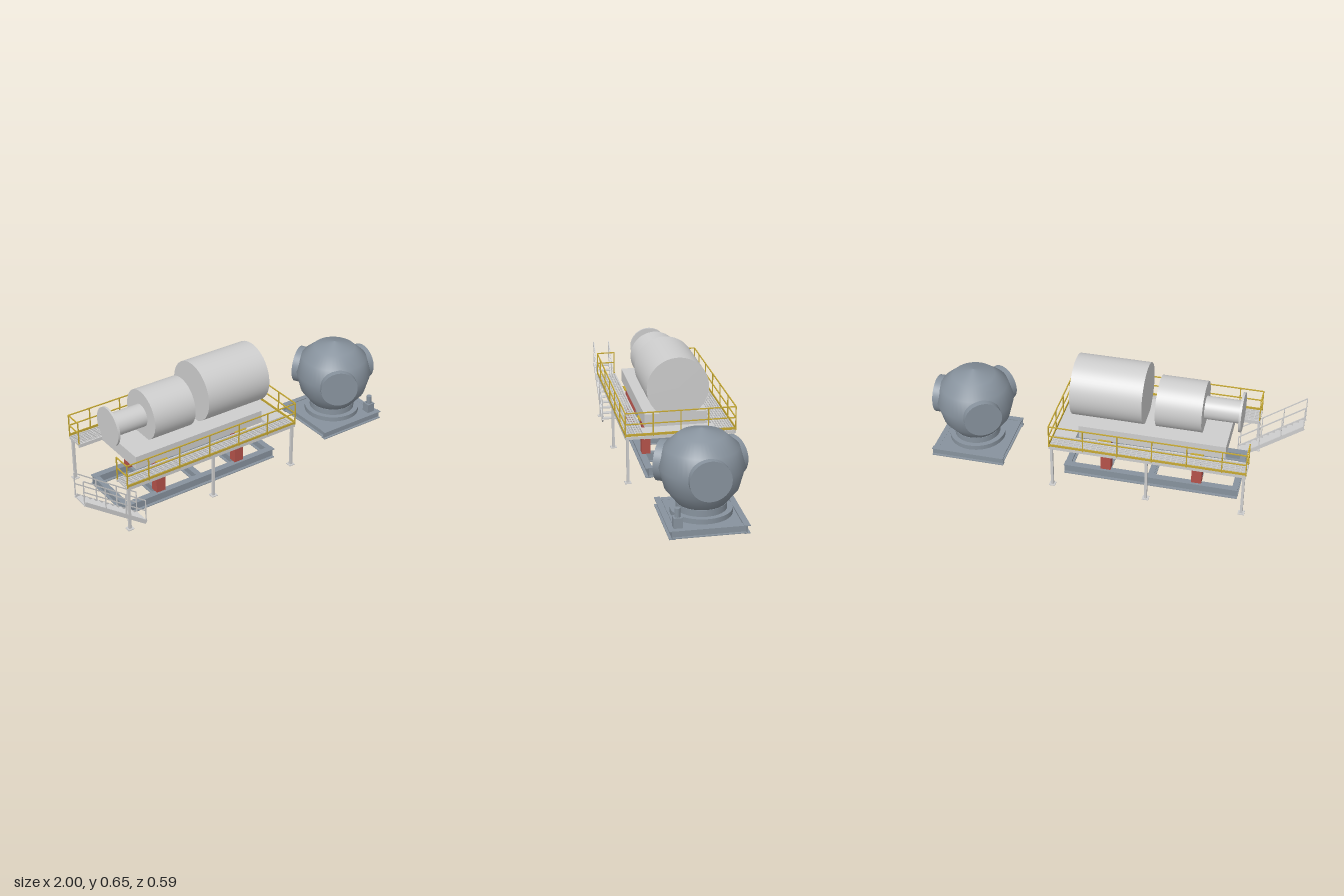
import * as THREE from 'three';

const mat = (name, color) => {
  const m = new THREE.MeshStandardMaterial({ color });
  m.name = name;
  return m;
};

export function createModel() {
  const light = mat('light grey', 0xcdcdcd);
  const steel = mat('blue grey steel', 0x87929d);
  const red = mat('red', 0xb4524a);
  const yellow = mat('safety yellow', 0xc6a935);

  const root = new THREE.Group();
  const group = (name) => {
    const g = new THREE.Group();
    g.name = name;
    root.add(g);
    return g;
  };
  const add = (parent, name, geo, m) => {
    const mesh = new THREE.Mesh(geo, m);
    mesh.name = name;
    parent.add(mesh);
    return mesh;
  };
  // Box given by its limits on each axis
  const box = (p, name, m, x0, x1, y0, y1, z0, z1) => {
    const b = add(p, name, new THREE.BoxGeometry(x1 - x0, y1 - y0, z1 - z0), m);
    b.position.set((x0 + x1) / 2, (y0 + y1) / 2, (z0 + z1) / 2);
    return b;
  };
  // Square bar between two points, h tall and w wide
  const bar = (p, name, m, a, b, h, w = h) => {
    const s = new THREE.Vector3(...a), e = new THREE.Vector3(...b);
    const mesh = add(p, name, new THREE.BoxGeometry(w, h, s.distanceTo(e)), m);
    mesh.position.copy(s).add(e).multiplyScalar(0.5);
    mesh.lookAt(e);
    return mesh;
  };
  // I-beam along x or z, centred on c across its length
  const iBeam = (p, name, axis, a, b, c, y0, y1, w) => {
    const part = (half, lo, hi) => axis === 'x'
      ? box(p, name, steel, a, b, lo, hi, c - half, c + half)
      : box(p, name, steel, c - half, c + half, lo, hi, a, b);
    part(w / 2, y0, y0 + 0.004);
    part(w / 2, y1 - 0.004, y1);
    part(0.002, y0 + 0.004, y1 - 0.004);
  };
  const drum = (p, name, x0, x1, y, r) => {
    const d = add(p, name, new THREE.CylinderGeometry(r, r, x1 - x0, 64), light);
    d.rotation.z = -Math.PI / 2;
    d.position.set((x0 + x1) / 2, y, 0);
  };
  const disc = (p, name, m, x, y0, y1, z, r, r0 = r) => {
    const d = add(p, name, new THREE.CylinderGeometry(r, r0, y1 - y0, 48), m);
    d.position.set(x, (y0 + y1) / 2, z);
  };

  // Main skid with cross beams and red columns
  const skid = group('mainSkid');
  for (const s of [-1, 1]) {
    iBeam(skid, 'skidRail', 'x', -0.705, 0.24, s * 0.16, 0.013, 0.068, 0.036);
    for (const x of [-0.482, 0.012]) {
      box(skid, 'column', red, x - 0.027, x + 0.027, 0.068, 0.262, s * 0.14 - 0.023, s * 0.14 + 0.023);
      box(skid, 'columnBracket', yellow, x - 0.035, x + 0.035, 0.262, 0.268, s * 0.173 - 0.006, s * 0.173 + 0.006);
    }
  }
  for (const x of [-0.69, -0.482, -0.235, 0.012, 0.222])
    iBeam(skid, 'crossBeam', 'z', -0.158, 0.158, x, 0.014, 0.067, 0.032);

  // Drums on their base block
  const machine = group('machine');
  box(machine, 'baseBlock', light, -0.63, 0.155, 0.262, 0.335, -0.168, 0.168);
  disc(machine, 'bottomDish', light, -0.27, 0.25, 0.264, 0, 0.15, 0.105);
  drum(machine, 'largeDrum', -0.18, 0.205, 0.488, 0.164);
  drum(machine, 'middleDrum', -0.49, -0.245, 0.453, 0.136);
  drum(machine, 'neckPipe', -0.68, -0.49, 0.45, 0.061);
  drum(machine, 'endFlange', -0.688, -0.676, 0.45, 0.105);

  // Walkways on both long sides: frame, grating, legs and kick plates
  const walk = group('walkway');
  const X0 = -0.757, X1 = 0.287, Z = 0.29;
  for (const s of [-1, 1]) {
    for (const z of [0.19, 0.286])
      box(walk, 'edgeBeam', light, X0, X1, 0.25, 0.27, s * z - 0.004, s * z + 0.004);
    for (let i = 1; i < 7; i++) {
      const z = s * (0.19 + i * 0.0137);
      box(walk, 'gratingBar', light, X0, X1, 0.258, 0.268, z - 0.0025, z + 0.0025);
    }
    for (let i = 0; i <= 34; i++) {
      const x = X0 + 0.003 + i * (X1 - X0 - 0.006) / 34;
      box(walk, 'gratingRung', light, x - 0.003, x + 0.003, 0.26, 0.266, s * 0.238 - 0.048, s * 0.238 + 0.048);
    }
    for (const x of [-0.745, -0.235, 0.275]) {
      box(walk, 'leg', light, x - 0.007, x + 0.007, 0.012, 0.255, s * 0.278 - 0.007, s * 0.278 + 0.007);
      box(walk, 'footPlate', light, x - 0.017, x + 0.017, 0.009, 0.013, s * 0.278 - 0.017, s * 0.278 + 0.017);
      box(walk, 'bracket', light, x - 0.007, x + 0.007, 0.25, 0.262, s * 0.238 - 0.048, s * 0.238 + 0.048);
    }
    box(walk, 'kickPlate', yellow, X0, X1, 0.27, 0.283, s * Z - 0.002, s * Z + 0.002);
  }
  // Cross platform at the far end
  box(walk, 'endPlate', light, 0.168, X1, 0.263, 0.27, -0.19, 0.19);
  for (const x of [0.172, 0.2, 0.228, 0.256, 0.283])
    box(walk, 'endJoist', light, x - 0.003, x + 0.003, 0.25, 0.263, -0.19, 0.19);
  box(walk, 'endKickPlate', yellow, X1 - 0.002, X1 + 0.002, 0.27, 0.283, -Z, Z);

  // Yellow guard rails
  const rails = group('guardRails');
  const T = 0.0055;
  const post = (x, z) => bar(rails, 'railPost', yellow, [x, 0.265, z], [x, 0.397, z], T);
  for (const s of [-1, 1]) {
    for (const x of [-0.755, -0.63, -0.447, -0.264, -0.081, 0.102, 0.285]) post(x, s * Z);
    post(-0.755, s * 0.192);
    for (const y of [0.335, 0.395]) {
      bar(rails, 'sideRail', yellow, [-0.755, y, s * Z], [0.285, y, s * Z], T);
      bar(rails, 'shortEndRail', yellow, [-0.755, y, s * 0.192], [-0.755, y, s * Z], T);
    }
  }
  for (const z of [-0.145, 0, 0.145]) post(0.285, z);
  for (const y of [0.335, 0.395])
    bar(rails, 'endRail', yellow, [0.285, y, -Z], [0.285, y, Z], T);

  // Stairs with stringers, treads and hand rails
  const stairs = group('stairs');
  const A = [-0.992, 0.262], B = [-0.65, 0.012];
  const at = (t, dy, z) => [A[0] + (B[0] - A[0]) * t, A[1] + (B[1] - A[1]) * t + dy, z];
  for (const z of [0.19, 0.28]) {
    bar(stairs, 'stringer', light, at(0, 0, z), at(1, 0, z), 0.02, 0.007);
    for (const dy of [0.07, 0.132])
      bar(stairs, 'handRail', light, at(0, dy, z), at(1, dy, z), 0.005);
    for (const t of [0, 0.34, 0.67, 1])
      bar(stairs, 'handRailPost', light, at(t, 0, z), at(t, 0.132, z), 0.005);
  }
  for (let i = 0; i < 11; i++) {
    const [x, y] = at((i + 0.5) / 11, 0, 0);
    box(stairs, 'tread', light, x - 0.015, x + 0.015, y - 0.003, y + 0.003, 0.19, 0.28);
  }

  // Ball vessel with three round ports
  const ball = group('ballVessel');
  const CX = 0.785, CY = 0.296;
  const profile = [[0, 0.1], [0.118, 0.108], [0.182, 0.19], [0.21, CY], [0.182, 0.395], [0.114, 0.455], [0, 0.488]];
  add(ball, 'ballShell', new THREE.LatheGeometry(profile.map((p) => new THREE.Vector2(...p)), 48), steel).position.x = CX;
  for (let i = 0; i < 3; i++) {
    const a = i * Math.PI * 2 / 3;
    const dir = new THREE.Vector3(Math.cos(a), 0, Math.sin(a));
    const port = add(ball, 'port', new THREE.CylinderGeometry(0.102, 0.102, 0.05, 48), steel);
    port.quaternion.setFromUnitVectors(new THREE.Vector3(0, 1, 0), dir);
    port.position.set(CX, CY, 0).addScaledVector(dir, 0.188);
  }

  // Turntable, drive and skid under the ball
  disc(ball, 'upperRing', steel, CX, 0.08, 0.114, 0, 0.125);
  disc(ball, 'lowerRing', steel, CX, 0.054, 0.08, 0, 0.153);
  box(ball, 'gearbox', steel, 0.915, 0.96, 0.055, 0.107, 0.125, 0.17);
  disc(ball, 'motor', steel, 0.937, 0.107, 0.152, 0.148, 0.0145);
  box(ball, 'skidPlate', steel, 0.61, 0.96, 0.047, 0.052, -0.163, 0.163);
  for (const s of [-1, 1]) {
    iBeam(ball, 'ballSkidRail', 'x', 0.58, 0.988, s * 0.181, 0.012, 0.055, 0.03);
    iBeam(ball, 'ballSkidEnd', 'z', -0.179, 0.179, CX + s * 0.185, 0.013, 0.053, 0.03);
  }
  return root;
}
